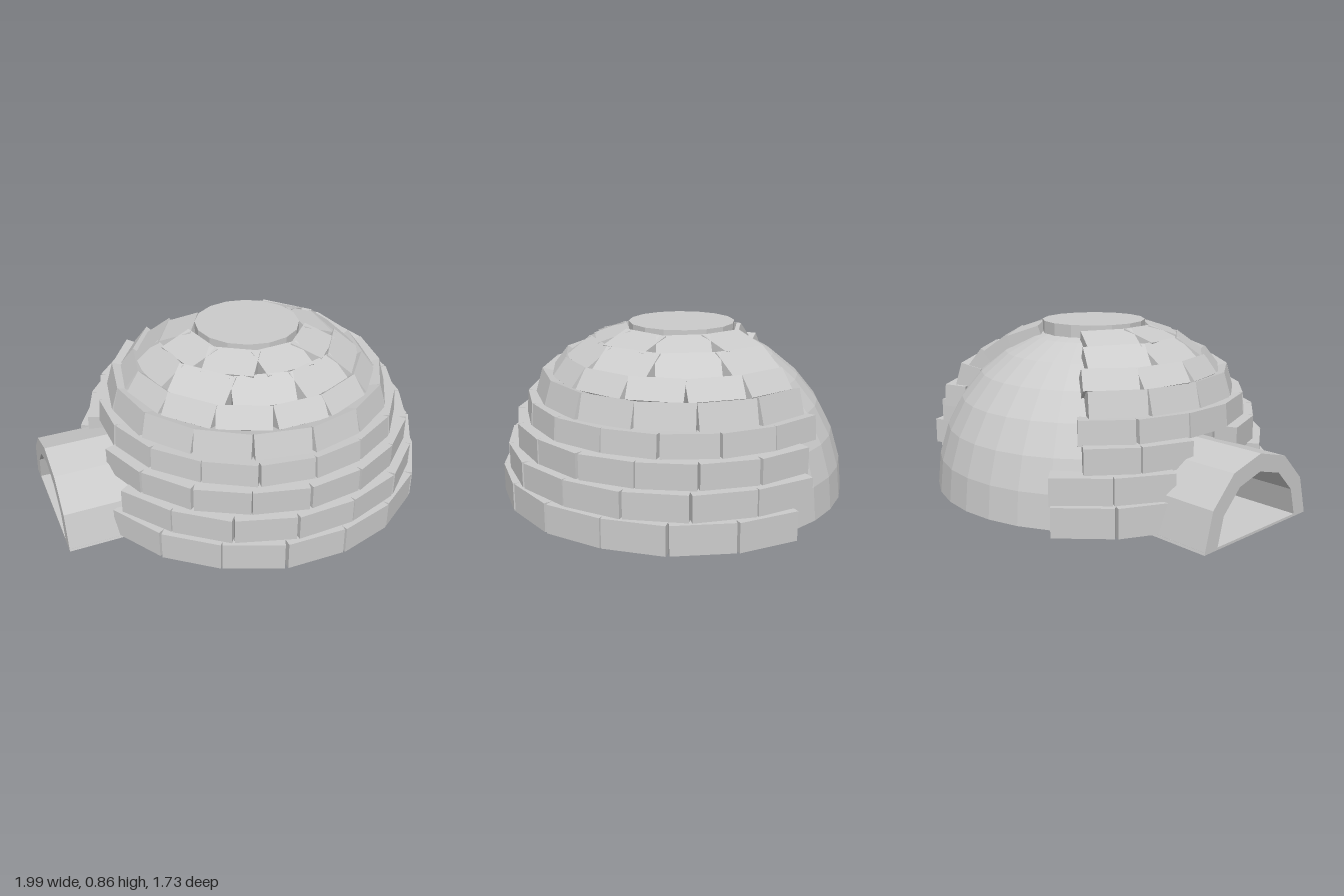
import * as THREE from 'three';

const material = new THREE.MeshStandardMaterial({ color: 0xcccccc, flatShading: true, side: THREE.DoubleSide });
const rad = THREE.MathUtils.degToRad;
const BLOCK_DEPTH = 0.11;

// Each course: outer edge at the bottom and top as [radius, height], then runs of
// blocks as [start angle, end angle, count]; 0 degrees faces +z, 90 faces +x.
const courses = [
  { low: [0.9, 0.015], high: [0.9, 0.155], runs: [[-69, 120.4, 10], [-145, -108, 2]] },
  { low: [0.872, 0.15], high: [0.872, 0.28], runs: [[-66.6, 127.4, 10], [-146, -108, 2]] },
  { low: [0.828, 0.275], high: [0.828, 0.4], runs: [[-79, 129, 11], [-136, -100, 2]] },
  { low: [0.775, 0.395], high: [0.765, 0.51], runs: [[-138, 138, 14]] },
  { low: [0.72, 0.505], high: [0.685, 0.625], runs: [[-135, 137, 12]] },
  { low: [0.645, 0.615], high: [0.575, 0.705], runs: [[-138, 138, 11]] },
  { low: [0.56, 0.69], high: [0.43, 0.785], runs: [[-137, 142, 8]] },
  { low: [0.43, 0.78], high: [0.27, 0.835], runs: [[-140, 150, 7]] },
];

function makeCourse({ low, high, runs }, index) {
  const course = new THREE.Group();
  course.name = `blockCourse${index + 1}`;
  const [r0, y0] = low;
  const [r1, y1] = high;
  const tilt = Math.atan2(r0 - r1, y1 - y0);
  const height = Math.hypot(r0 - r1, y1 - y0);
  const radius = (r0 + r1) / 2;
  for (const [start, end, count] of runs) {
    const pitch = (end - start) / count;
    const width = 2 * radius * Math.tan(rad(pitch / 2)) * 0.96;
    const geometry = new THREE.BoxGeometry(width, height, BLOCK_DEPTH);
    for (let i = 0; i < count; i++) {
      const block = new THREE.Mesh(geometry, material);
      block.name = 'snowBlock';
      block.rotation.x = -tilt;
      block.position.set(
        0,
        (y0 + y1) / 2 - Math.sin(tilt) * BLOCK_DEPTH / 2,
        radius - Math.cos(tilt) * BLOCK_DEPTH / 2
      );
      // slightly uneven hand-laid blocks
      block.rotation.y = 0.035 * Math.sin(i * 2.4 + index * 1.7);
      const pivot = new THREE.Group();
      pivot.rotation.y = rad(start + pitch * (i + 0.5));
      pivot.add(block);
      course.add(pivot);
    }
  }
  return course;
}

// Half-ring arch extruded along x
function makeTunnel() {
  const tunnel = new THREE.Group();
  tunnel.name = 'entranceTunnel';
  const arc = (r) => Array.from({ length: 7 }, (_, i) =>
    new THREE.Vector2(r * Math.cos(i * Math.PI / 6), r * Math.sin(i * Math.PI / 6)));
  const profile = new THREE.Shape([...arc(0.368), ...arc(0.285).reverse()]);
  const geometry = new THREE.ExtrudeGeometry(profile, { depth: 0.55, bevelEnabled: false });
  geometry.rotateY(Math.PI / 2);
  const arch = new THREE.Mesh(geometry, material);
  arch.name = 'tunnelArch';
  arch.position.set(-1, 0, -0.05);
  const floor = new THREE.Mesh(new THREE.BoxGeometry(0.55, 0.012, 0.73), material);
  floor.name = 'tunnelFloor';
  floor.position.set(-0.725, 0.006, -0.05);
  tunnel.add(arch, floor);
  return tunnel;
}

export function createModel() {
  const model = new THREE.Group();
  model.name = 'igloo';

  const dome = new THREE.Group();
  dome.name = 'dome';
  dome.position.set(0.085, 0, -0.045);
  courses.forEach((course, i) => dome.add(makeCourse(course, i)));

  // Smooth shell filling the unfinished back
  const shell = new THREE.Mesh(
    new THREE.SphereGeometry(0.825, 12, 8, rad(202.5), rad(135), 0, Math.PI / 2), material);
  shell.name = 'backShell';
  shell.position.y = 0.015;

  // Disc closing the top
  const cap = new THREE.Mesh(new THREE.CylinderGeometry(0.265, 0.265, 0.065, 16), material);
  cap.name = 'topCap';
  cap.position.y = 0.823;

  dome.add(shell, cap);
  model.add(dome, makeTunnel());
  return model;
}
